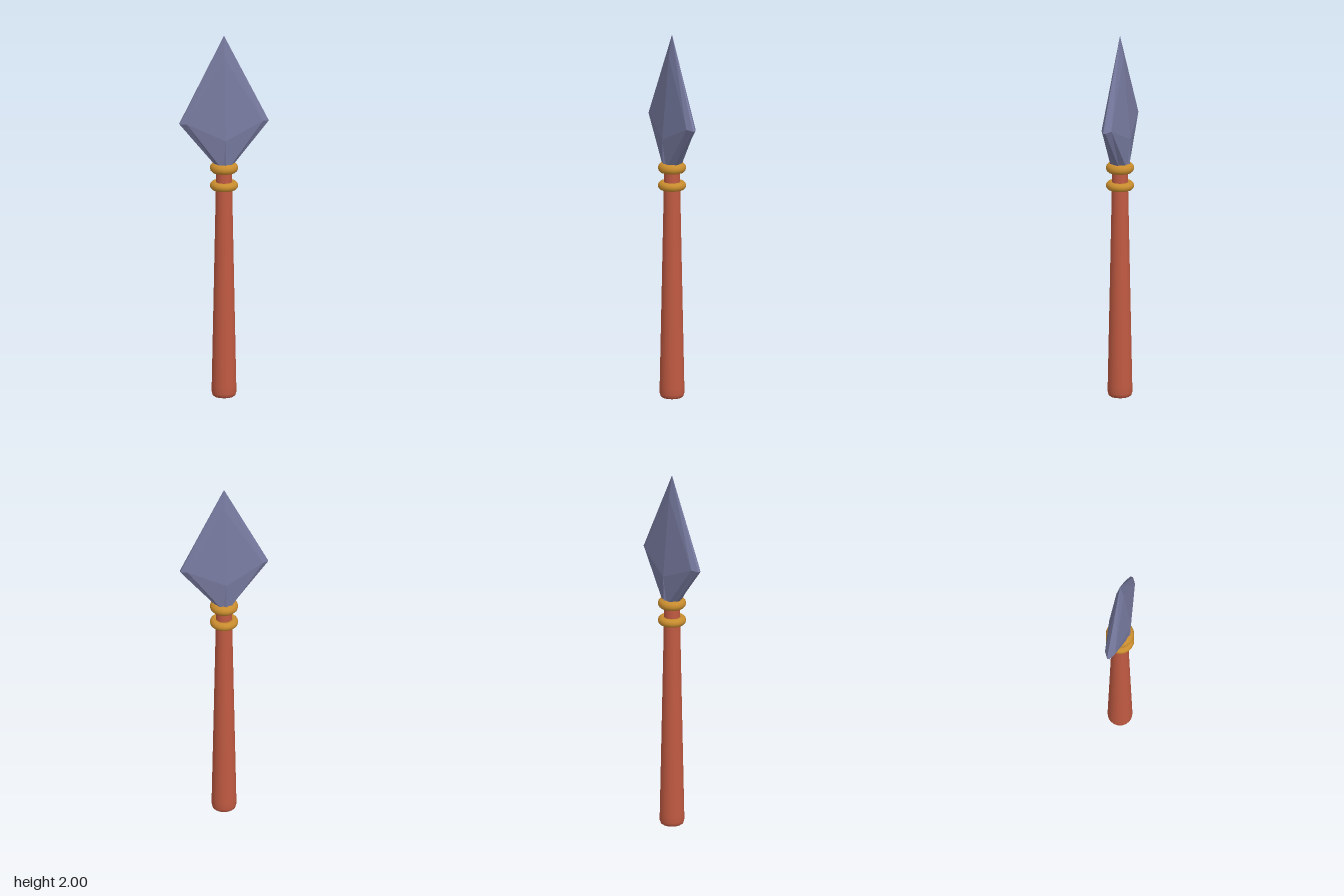
import * as THREE from 'three';

const mat = (name, color, extra = {}) => {
  const m = new THREE.MeshStandardMaterial({ color, ...extra });
  m.name = name;
  return m;
};

// One quarter of the blade (+x, +z), mirrored into the other three
function bladeGeometry() {
  const p = {
    tip: [0, 2, 0],
    apex: [0, 1.88, 0.02],
    ridge: [0, 1.43, 0.06],
    bevel: [0.207, 1.525, 0.028],
    edge: [0.242, 1.52, 0.007],
    edgeMid: [0.242, 1.52, 0],
    base: [0, 1.265, 0.055],
    baseBevel: [0.014, 1.265, 0.045],
    baseEdge: [0.033, 1.265, 0.01],
    baseEdgeMid: [0.033, 1.265, 0],
    baseMid: [0, 1.265, 0],
  };
  const faces = [
    // broad face
    'apex ridge bevel', 'ridge base baseBevel', 'ridge baseBevel bevel',
    // bevelled border
    'tip apex bevel', 'tip bevel edge', 'bevel baseBevel baseEdge', 'bevel baseEdge edge',
    // narrow outer edge
    'tip edge edgeMid', 'edge baseEdge baseEdgeMid', 'edge baseEdgeMid edgeMid',
    // underside
    'baseMid baseEdgeMid baseEdge', 'baseMid baseEdge baseBevel', 'baseMid baseBevel base',
  ];
  const pos = [];
  for (const sx of [1, -1]) {
    for (const sz of [1, -1]) {
      for (const face of faces) {
        const corners = face.split(' ');
        if (sx * sz < 0) corners.reverse();
        for (const c of corners) pos.push(p[c][0] * sx, p[c][1], p[c][2] * sz);
      }
    }
  }
  const g = new THREE.BufferGeometry();
  g.setAttribute('position', new THREE.Float32BufferAttribute(pos, 3));
  g.computeVertexNormals();
  return g;
}

export function createModel() {
  const group = new THREE.Group();
  const wood = mat('red wood', 0xc05a42);
  const gold = mat('gold', 0xc88c2e);
  const steel = mat('blue grey steel', 0x777a9f, { flatShading: true });

  const add = (name, geometry, material, y = 0) => {
    const mesh = new THREE.Mesh(geometry, material);
    mesh.name = name;
    mesh.position.y = y;
    group.add(mesh);
    return mesh;
  };

  // Tapered shaft with a rounded butt
  const profile = [
    [0.053, 0], [0.061, 0.006], [0.066, 0.022], [0.066, 0.06],
    [0.055, 0.6], [0.044, 1.15], [0.043, 1.27],
  ].map(([x, y]) => new THREE.Vector2(x, y));
  add('shaft', new THREE.LatheGeometry(profile, 24), wood);
  const butt = add('shaftButt', new THREE.CircleGeometry(0.053, 24), wood);
  butt.rotation.x = Math.PI / 2;

  // Collar rings below the blade
  for (const [name, y, tube] of [['upperRing', 1.267, 0.027], ['lowerRing', 1.169, 0.023]]) {
    const ring = add(name, new THREE.TorusGeometry(0.076 - tube, tube, 12, 28), gold, y);
    ring.rotation.x = Math.PI / 2;
  }

  // Diamond blade
  add('blade', bladeGeometry(), steel);
  return group;
}
